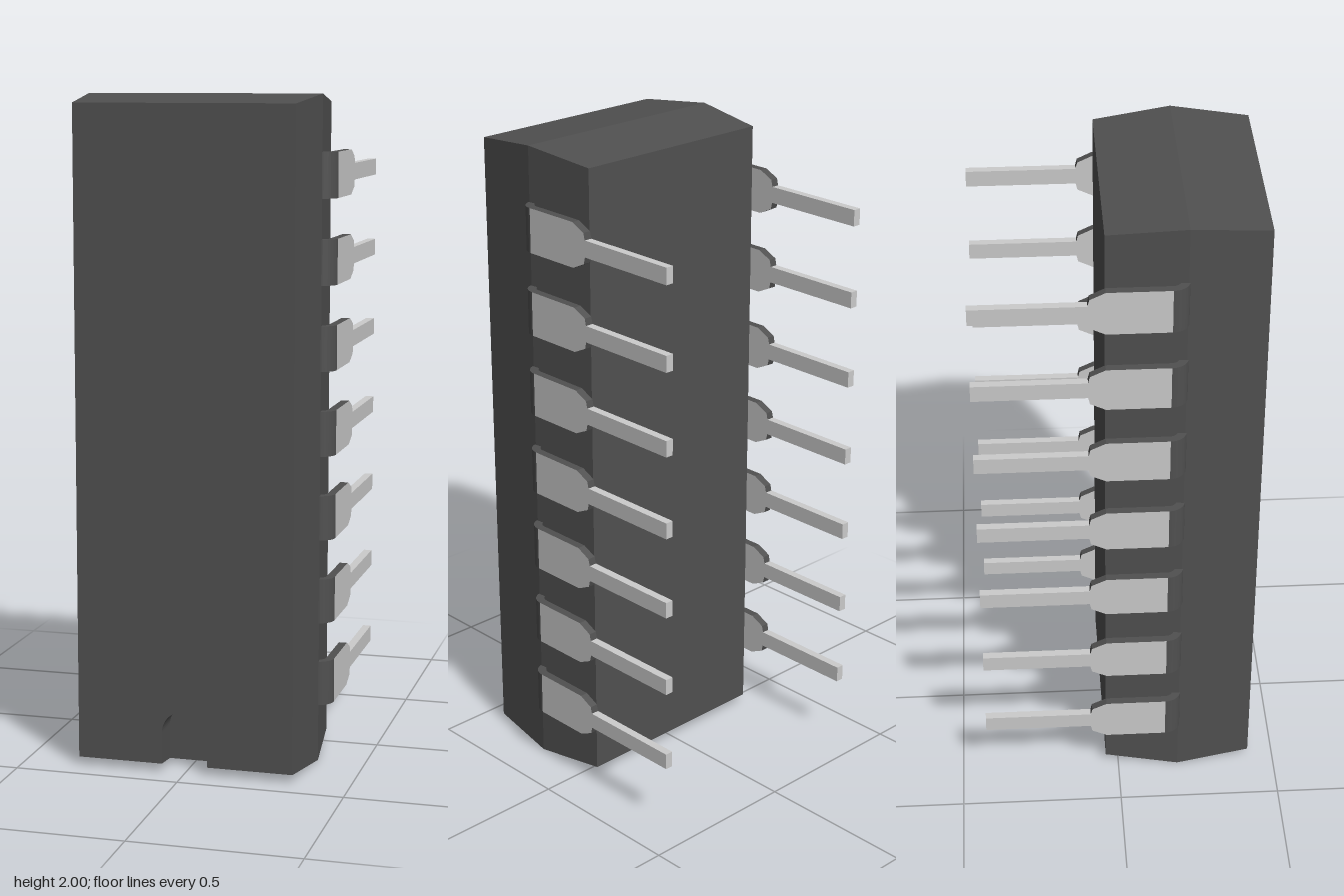
import * as THREE from 'three';
import { mergeGeometries } from 'three/addons/utils/BufferGeometryUtils.js';

const MID_Z = 0.19, HALF_DEPTH = 0.23, HALF_W = 0.355, HEIGHT = 2, DRAFT = 0.025;
const FLOOR_Z = 0.335; // floor of the notch

const dark = new THREE.MeshStandardMaterial({ color: 0x505050, flatShading: true });
const metal = new THREE.MeshStandardMaterial({ color: 0xcccccc, flatShading: true });

// Draws the outer walls in as they leave the parting line at MID_Z
function taper(geometry) {
  const p = geometry.attributes.position;
  for (let i = 0; i < p.count; i++) {
    const inset = DRAFT * Math.abs(p.getZ(i) - MID_Z) / HALF_DEPTH;
    const x = p.getX(i), y = p.getY(i);
    if (Math.abs(x) > 0.2) p.setX(i, Math.sign(x) * (HALF_W - inset));
    if (y < 0.01) p.setY(i, inset);
    else if (y > HEIGHT - 0.01) p.setY(i, HEIGHT - inset);
  }
  geometry.computeVertexNormals();
  return geometry;
}

function slab(z0, z1) {
  const g = new THREE.BoxGeometry(2 * HALF_W, HEIGHT, z1 - z0).toNonIndexed();
  return taper(g.translate(0, HEIGHT / 2, (z0 + z1) / 2));
}

// Front layer with the round-topped notch cut through it
function notchedSlab(z0, z1) {
  const r = 0.07, s = new THREE.Shape();
  s.moveTo(r, 0);
  s.lineTo(HALF_W, 0);
  s.lineTo(HALF_W, HEIGHT);
  s.lineTo(-HALF_W, HEIGHT);
  s.lineTo(-HALF_W, 0);
  s.lineTo(-r, 0);
  s.lineTo(-r, 0.12);
  s.absarc(0, 0.12, r, Math.PI, 0, true);
  s.closePath();
  const g = new THREE.ExtrudeGeometry(s, { depth: z1 - z0, bevelEnabled: false, curveSegments: 16 });
  return taper(g.translate(0, 0, z0));
}

// Pin on the +x side, centred on y = 0
const OUT_X = 0.393, THICK = 0.025, HALF_PIN = 0.0675, BEND_Z = 0.145;

const bendShape = new THREE.Shape();
bendShape.absarc(OUT_X - 0.05, BEND_Z, 0.05, 0, Math.PI / 2, false);
bendShape.absarc(OUT_X - 0.05, BEND_Z, 0.05 - THICK, Math.PI / 2, 0, true);
const bendGeo = new THREE.ExtrudeGeometry(bendShape, { depth: 2 * HALF_PIN, bevelEnabled: false, curveSegments: 5 })
  .rotateX(Math.PI / 2).translate(0, HALF_PIN, 0);

const bladeShape = new THREE.Shape([
  [BEND_Z, -HALF_PIN], [BEND_Z, HALF_PIN], [-0.04, HALF_PIN],
  [-0.085, 0.046], [-0.09, 0.025], [-0.09, -0.025], [-0.085, -0.046], [-0.04, -HALF_PIN],
].map(([z, y]) => new THREE.Vector2(z, y)));
const bladeGeo = new THREE.ExtrudeGeometry(bladeShape, { depth: THICK, bevelEnabled: false })
  .rotateY(-Math.PI / 2).translate(OUT_X, 0, 0);

const legGeo = new THREE.BoxGeometry(THICK, 0.05, 0.33).translate(OUT_X - THICK / 2, 0, -0.255);

function part(name, geometry, material) {
  const mesh = new THREE.Mesh(geometry, material);
  mesh.name = name;
  return mesh;
}

function makePin(name) {
  const pin = new THREE.Group();
  pin.name = name;
  pin.add(
    part('pinBend', bendGeo, dark),
    part('pinBlade', bladeGeo, [metal, dark]), // bright faces, dark edges
    part('pinLeg', legGeo, metal),
  );
  return pin;
}

export function createModel() {
  const model = new THREE.Group();
  model.name = 'chip';
  model.add(part('body', mergeGeometries([
    slab(MID_Z - HALF_DEPTH, MID_Z),
    slab(MID_Z, FLOOR_Z),
    notchedSlab(FLOOR_Z, MID_Z + HALF_DEPTH),
  ]), dark));

  // Seven pins a side; a half turn about z gives the opposite row
  for (let i = 0; i < 7; i++) {
    for (const side of ['left', 'right']) {
      const pin = makePin(`${side}Pin${i + 1}`);
      pin.position.y = 1.003 + (i - 3) * 0.254;
      if (side === 'right') pin.rotation.z = Math.PI;
      model.add(pin);
    }
  }
  return model;
}
